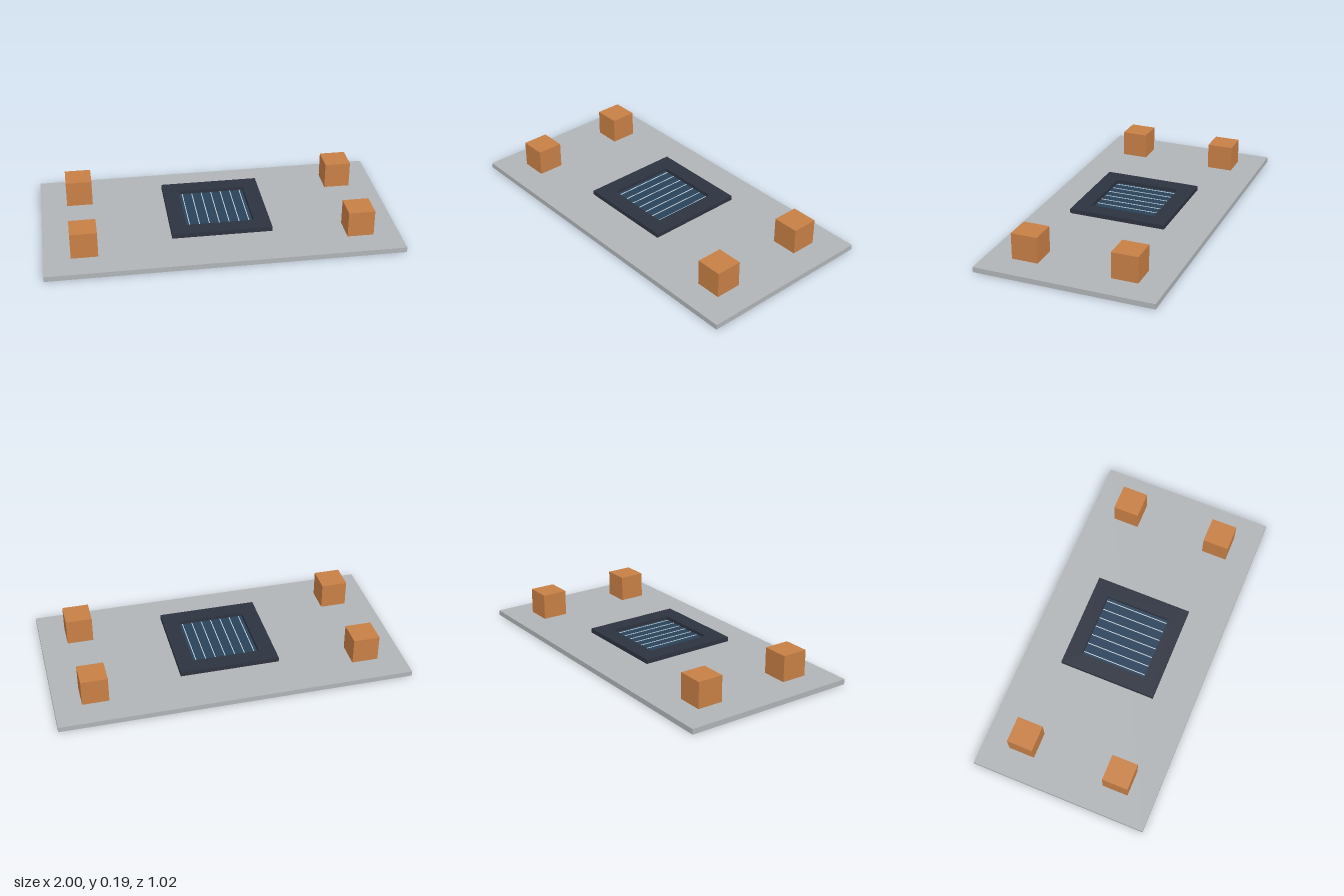
import * as THREE from 'three';

const mat = (name, color) => {
  const m = new THREE.MeshStandardMaterial({ color });
  m.name = name;
  return m;
};

export function createModel() {
  const slabGrey = mat('slabGrey', 0xb0b4b7);
  const copper = mat('copper', 0xc77f45);
  const frameNavy = mat('frameNavy', 0x2d3340);
  const panelBlue = mat('panelBlue', 0x28425a);
  const lineSilver = mat('lineSilver', 0xc3ccd4);

  const model = new THREE.Group();
  model.name = 'solarPlate';

  // Box placed by its centre in x and z and by its bottom and top in y
  const box = (name, material, w, d, bottom, top, x = 0, z = 0) => {
    const mesh = new THREE.Mesh(new THREE.BoxGeometry(w, top - bottom, d), material);
    mesh.name = name;
    mesh.position.set(x, (bottom + top) / 2, z);
    model.add(mesh);
  };

  // Base slab
  box('baseSlab', slabGrey, 2, 1.022, 0, 0.03);

  // Four corner blocks, hovering just above the slab
  for (const x of [-0.773, 0.773])
    for (const z of [-0.284, 0.284])
      box('cornerBlock', copper, 0.15, 0.15, 0.035, 0.185, x, z);

  // Square frame with a square opening
  const square = (Type, r) => new Type([
    new THREE.Vector2(-r, -r), new THREE.Vector2(r, -r),
    new THREE.Vector2(r, r), new THREE.Vector2(-r, r),
  ]);
  const outline = square(THREE.Shape, 0.283);
  outline.holes.push(square(THREE.Path, 0.191));
  const frame = new THREE.Mesh(
    new THREE.ExtrudeGeometry(outline, { depth: 0.026, bevelEnabled: false }), frameNavy);
  frame.name = 'frame';
  frame.rotation.x = -Math.PI / 2;
  frame.position.y = 0.064;
  model.add(frame);

  // Recessed cell panel with thin conductor lines
  box('cellPanel', panelBlue, 0.38, 0.38, 0.064, 0.07);
  for (let i = -3; i <= 3; i++)
    box('conductorLine', lineSilver, 0.005, 0.376, 0.07, 0.072, i * 0.0567);

  return model;
}
